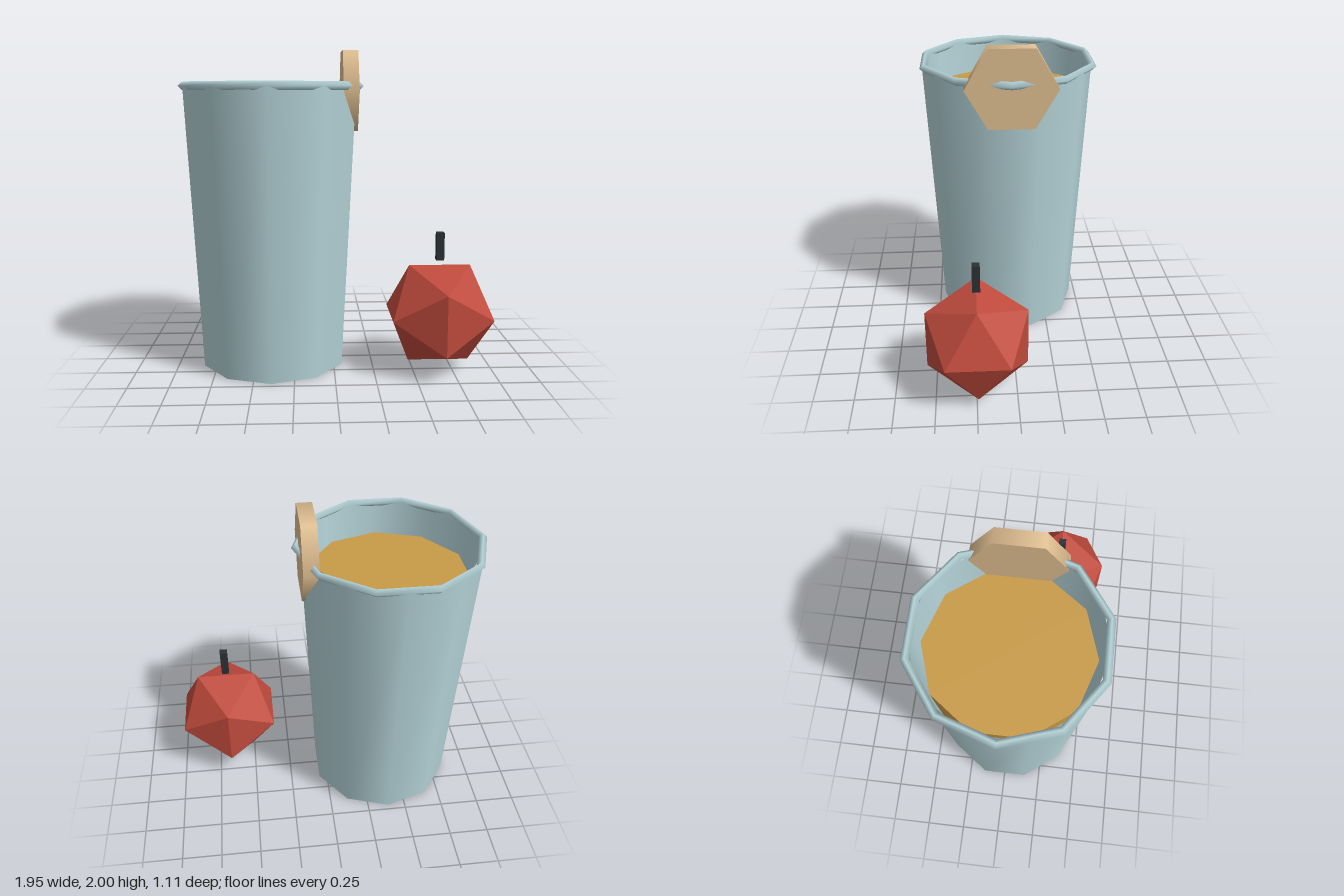
import * as THREE from 'three';

export function createModel() {
  const model = new THREE.Group();
  const CUP_X = -0.39;

  const add = (name, geometry, color, position, options = {}) => {
    const mesh = new THREE.Mesh(geometry, new THREE.MeshStandardMaterial({ color, ...options }));
    mesh.name = name;
    mesh.position.set(...position);
    model.add(mesh);
    return mesh;
  };

  // Tapered ten-sided tumbler: open wall plus a floor
  const glass = 0xb4d3d8;
  add('glassWall', new THREE.CylinderGeometry(0.555, 0.465, 1.79, 10, 1, true), glass,
    [CUP_X, 0.895, 0], { side: THREE.DoubleSide });
  // A ten-sided disc whose corners line up with the wall
  const floor = new THREE.CircleGeometry(0.465, 10, Math.PI / 2);
  floor.rotateX(Math.PI / 2);
  add('glassFloor', floor, glass, [CUP_X, 0, 0], { side: THREE.DoubleSide });

  // Thin rim, its corners turned half a side from those of the wall
  const rim = new THREE.TorusGeometry(0.56, 0.025, 4, 10);
  rim.rotateX(Math.PI / 2);
  add('rim', rim, glass, [CUP_X, 1.785, 0]);

  // Drink filling the tumbler
  add('drink', new THREE.CylinderGeometry(0.5, 0.43, 1.55, 10), 0xc89a48, [CUP_X, 0.81, 0]);

  // Six-sided fruit slice hung on the rim
  const slice = new THREE.CylinderGeometry(0.284, 0.284, 0.095, 6);
  slice.rotateZ(Math.PI / 2);
  add('fruitSlice', slice, 0xdebd90, [0.103, 1.754, 0]);

  // Faceted cherry beside the tumbler with its floating stem
  add('cherry', new THREE.IcosahedronGeometry(0.364, 0), 0xc04a3c, [0.661, 0.368, 0.24],
    { flatShading: true });
  add('cherryStem', new THREE.BoxGeometry(0.048, 0.175, 0.048), 0x2a3034, [0.661, 0.797, 0.24]);

  return model;
}
